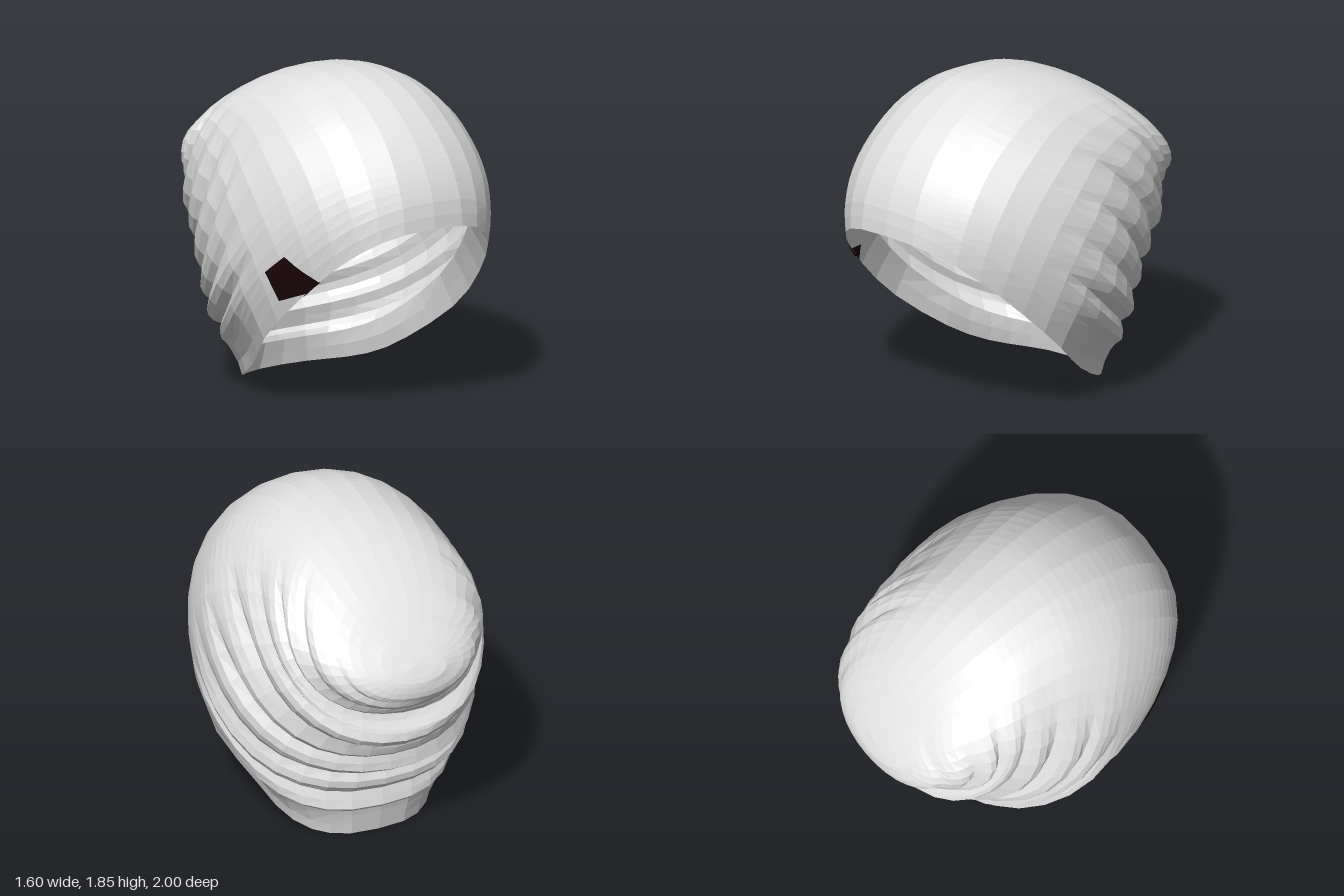
import * as THREE from 'three';

const knit = new THREE.MeshStandardMaterial({ color: 0xe2e2e2, flatShading: true, side: THREE.DoubleSide });
knit.name = 'light grey knit';
const dark = new THREE.MeshStandardMaterial({ color: 0x1a0609, flatShading: true, side: THREE.DoubleSide });
dark.name = 'dark brown patch';

// Control rings from the brim to the crown tip:
// front z, front y, back z, back y, half width, side sag
const RINGS = [
  [1.0, 1.1, -0.5, 0.0, 0.66, 0.15],
  [0.98, 1.25, -0.53, 0.13, 0.72, 0.13],
  [0.9, 1.43, -0.56, 0.27, 0.77, 0.1],
  [0.76, 1.6, -0.61, 0.4, 0.79, 0.08],
  [0.55, 1.75, -0.66, 0.53, 0.78, 0.06],
  [0.3, 1.84, -0.75, 0.66, 0.71, 0.04],
  [0.05, 1.85, -0.87, 0.76, 0.65, 0.02],
  [-0.2, 1.81, -0.82, 0.88, 0.61, 0],
  [-0.42, 1.72, -0.86, 0.96, 0.55, 0],
  [-0.64, 1.57, -0.97, 1.03, 0.45, 0],
  [-0.83, 1.39, -1.0, 1.14, 0.25, 0],
  [-0.95, 1.25, -0.95, 1.25, 0, 0],
];
const LAST = RINGS.length - 1;
const curve = (a, b) => new THREE.CatmullRomCurve3(
  RINGS.map(r => new THREE.Vector3(r[a], r[b], 0)), false, 'catmullrom');
const frontLine = curve(0, 1), backLine = curve(2, 3), sizeLine = curve(4, 5);
const { smoothstep, lerp, clamp } = THREE.MathUtils;

// Point of the cloth at an angle (0 = front, positive toward +x) and ring position s
function cloth(angle, s, swell = 0) {
  const t = clamp(s / LAST, 0, 1);
  const f = frontLine.getPoint(t), b = backLine.getPoint(t), size = sizeLine.getPoint(t);
  const c = Math.cos(angle), sn = Math.sin(angle), grow = 1 + swell;
  const roundness = lerp(0.74, 0.95, clamp(s / 3.5, 0, 1));
  // The brim narrows toward the nape
  const nape = 1 - 0.17 * smoothstep(-c, -0.15, 0.45) * (1 - smoothstep(s, 0.3, 2.3));
  const x = Math.sign(sn) * Math.pow(Math.abs(sn), roundness) * size.x * nape * grow;
  const z = (f.x + b.x) / 2 + (f.x - b.x) / 2 * c * grow;
  const y = (f.y + b.y) / 2 + (f.y - b.y) / 2 * c * grow - size.y * sn * sn * (1 - 0.7 * c);
  return new THREE.Vector3(x, y, z);
}

// Gathered body: each row follows a wandering fold line, with rounded ridges and
// sharp valleys that fade out on the smooth forehead
function foldedCloth(angle, v) {
  const row = 1 + v * (LAST - 1);
  const wander = 0.4 * Math.sin(2 * angle + 0.3) + 0.2 * Math.sin(3 * angle + 1);
  const s = row - wander * Math.min(1, 4 * v, 4 * (1 - v));
  const c = Math.cos(angle);
  const limit = -0.1 + Math.max(0, row - 2) * 0.11;
  const fade = (1 - smoothstep(c, limit - 0.3, limit + 0.4)) * smoothstep(row, 1, 1.4);
  const strength = 0.06 + 0.025 * Math.sin(2 * angle + 2.4 * Math.floor(row));
  return cloth(angle, s, strength * fade * (Math.abs(Math.sin(Math.PI * row)) - 0.65));
}

// Turned-in hem: starts on the brim edge and leans into the opening
function hem(angle, v) {
  const p = cloth(angle, v * 1.15);
  p.x *= 1 - 0.2 * v;
  p.z = lerp(p.z, 0.22, 0.08 * v);
  return p;
}

// Grid surface from a function of u and v in 0..1
function sheet(fn, nu, nv) {
  const pos = [], index = [];
  for (let i = 0; i <= nv; i++)
    for (let j = 0; j <= nu; j++) pos.push(...fn(j / nu, i / nv).toArray());
  for (let i = 0; i < nv; i++)
    for (let j = 0; j < nu; j++) {
      const a = i * (nu + 1) + j, d = a + nu + 1;
      index.push(a, a + 1, d + 1, a, d + 1, d);
    }
  const g = new THREE.BufferGeometry();
  g.setAttribute('position', new THREE.Float32BufferAttribute(pos, 3));
  g.setIndex(index);
  g.computeVertexNormals();
  return g;
}

// Flat patch laid over a surface; corners are [cos of angle, position], on the -x side
function patchSheet(surface, corners, lift) {
  const n = corners.length;
  const mid = [0, 1].map(k => corners.reduce((sum, p) => sum + p[k], 0) / n);
  return sheet((u, v) => {
    const e = u * n, i = Math.floor(e) % n, w = e - Math.floor(e);
    const at = k => lerp(mid[k], lerp(corners[i][k], corners[(i + 1) % n][k], w), v);
    return surface(-Math.acos(at(0)), at(1)).add(lift);
  }, n * 4, 4);
}

export function createModel() {
  const group = new THREE.Group();
  group.name = 'slouchyHat';
  const add = (name, geometry, material) => {
    const mesh = new THREE.Mesh(geometry, material);
    mesh.name = name;
    group.add(mesh);
  };
  const turn = Math.PI * 2;

  // Plain brim band and its turned-in hem
  add('brim', sheet((u, v) => cloth(u * turn, v), 32, 2), knit);
  add('innerHem', sheet((u, v) => hem(-u * turn, v), 32, 2), knit);

  // Folded body and crown, four rows to each fold
  add('crown', sheet((u, v) => foldedCloth(u * turn, v), 32, 40), knit);

  // Diamond patch on the brim, wrapping round its edge onto the hem
  add('patchOutside', patchSheet(cloth,
    [[0.58, 0], [0.42, 1.5], [0.25, 1.55], [0.27, 0.55], [0.48, 0]],
    new THREE.Vector3(-0.004, -0.003, 0.007)), dark);
  add('patchInside', patchSheet(hem,
    [[0.58, 0], [0.5, 0.35], [0.44, 0]],
    new THREE.Vector3(0.007, -0.003, 0)), dark);

  return group;
}
